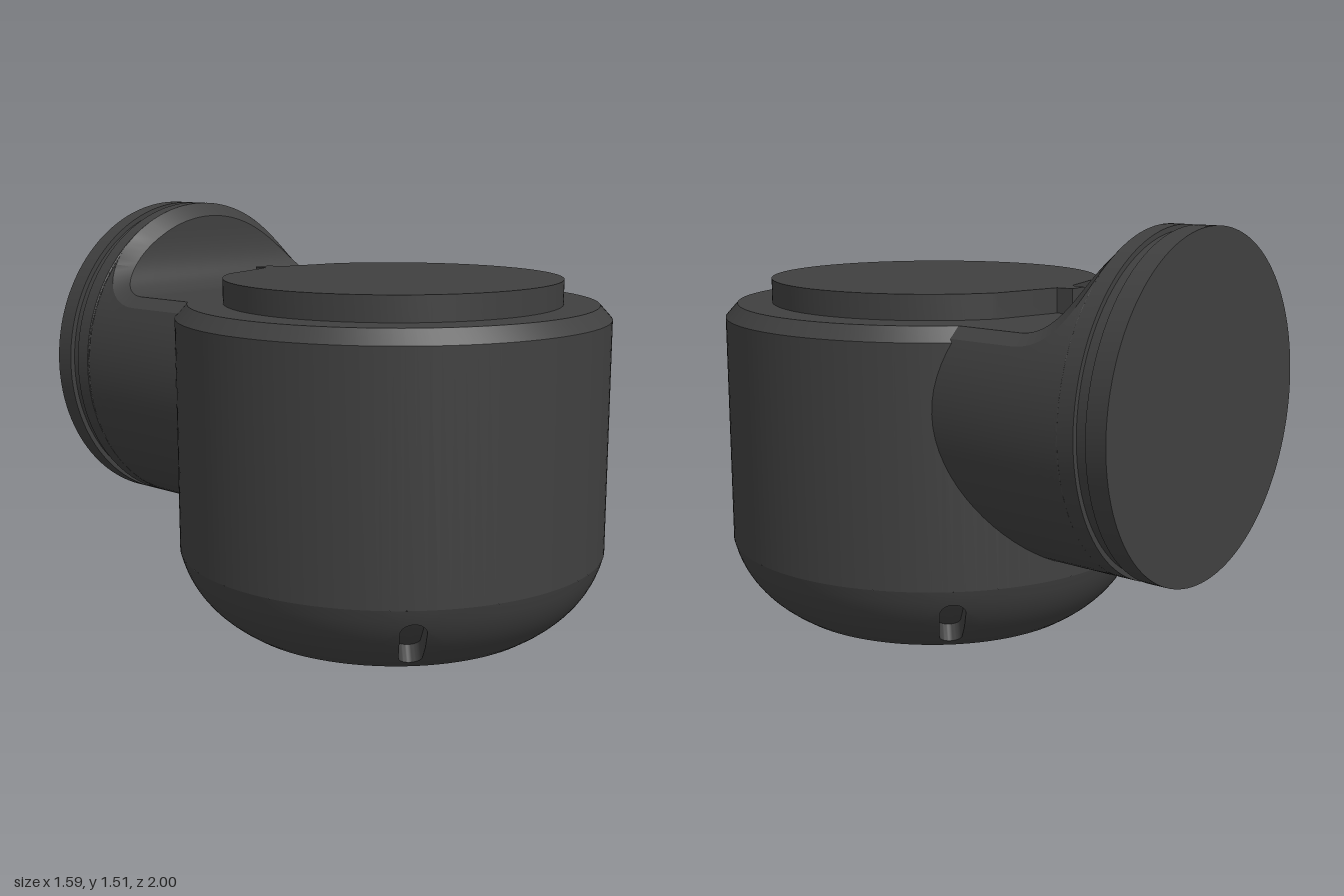
import * as THREE from 'three';
import { mergeGeometries, toCreasedNormals } from 'three/addons/utils/BufferGeometryUtils.js';

const CZ = 0.2;              // z of the upright body axis
const AXIS = 0.9, R = 0.61;  // height and radius of the rear neck
const V = (x, y, z) => new THREE.Vector3(x, y, z);

// Skin a grid of points: rows[i][j], outward side is (i direction) x (j direction)
function skin(rows) {
  const pos = [];
  for (let i = 0; i + 1 < rows.length; i++) {
    for (let j = 0; j + 1 < rows[i].length; j++) {
      const a = rows[i][j], b = rows[i + 1][j], c = rows[i][j + 1], d = rows[i + 1][j + 1];
      for (const p of [a, b, c, b, d, c]) pos.push(p.x, p.y, p.z);
    }
  }
  const g = new THREE.BufferGeometry();
  g.setAttribute('position', new THREE.Float32BufferAttribute(pos, 3));
  return g;
}

const lathe = (pts) => new THREE.LatheGeometry(pts.map(([r, y]) => new THREE.Vector2(r, y)), 128);

// Rounded lower bowl: profile curve swept about the body axis
const bowlCurve = new THREE.QuadraticBezierCurve(
  new THREE.Vector2(0.59, 0), new THREE.Vector2(0.755, 0.1), new THREE.Vector2(0.795, 0.27));
function bowlPoint(phi, t) {
  const p = bowlCurve.getPoint(t);
  return V(p.x * Math.sin(phi), p.y, p.x * Math.cos(phi) + CZ);
}

// Bowl patch holding one sunken oblong slot
const PATCH = 0.14;
function slotPatch(phi0) {
  const K = 48, rings = 6, rows = [];
  const inward = V(-0.8 * Math.sin(phi0), 0.6, -0.8 * Math.cos(phi0)).multiplyScalar(0.07);
  for (let i = 0; i <= rings; i++) {
    const row = [];
    for (let k = 0; k <= K; k++) {
      const a = ((k % K) / K) * Math.PI * 2, c = Math.cos(a), s = Math.sin(a);
      const m = Math.max(Math.abs(c), Math.abs(s));
      const side = Math.abs(s) < 1e-6 ? 0 : Math.sign(s);
      const u = THREE.MathUtils.lerp(c * 0.06, (c / m) * PATCH, i / rings);
      const t = THREE.MathUtils.lerp(s * 0.13 + side * 0.21, (s / m) * 0.5, i / rings);
      row.push(bowlPoint(phi0 + u, THREE.MathUtils.clamp(0.5 + t, 0, 1)));
    }
    rows.push(row);
  }
  const floor = rows[0].map((p) => p.clone().add(inward));
  const centre = bowlPoint(phi0, 0.5).add(inward);
  return skin([floor.map(() => centre), floor, ...rows]);
}

function bowlGeometry() {
  const parts = [];
  for (let q = 0; q < 4; q++) {
    const phi0 = Math.PI / 4 + q * Math.PI / 2;
    parts.push(slotPatch(phi0));
    // Plain stretch between this slot and the next
    const rows = [];
    for (let i = 0; i <= 24; i++) {
      const phi = phi0 + PATCH + (i / 24) * (Math.PI / 2 - 2 * PATCH);
      const row = [];
      for (let k = -6; k <= 6; k++) row.push(bowlPoint(phi, 0.5 + 0.5 * Math.tan(k * Math.PI / 24)));
      rows.push(row);
    }
    parts.push(skin(rows));
  }
  return toCreasedNormals(mergeGeometries(parts), 0.5);
}

// Neck: a lying cylinder scooped out on top, with a chamfer along the scoop
function neckGeometry() {
  const path = [[-0.25, 1.18, -1, 0], [-0.6, 1.18, -1, 0]]; // z, y, tangent z, tangent y
  const sweep = new THREE.QuadraticBezierCurve(
    new THREE.Vector2(-0.6, 1.18), new THREE.Vector2(-0.76, 1.18), new THREE.Vector2(-0.76, 1.4));
  for (let i = 1; i <= 18; i++) {
    const p = sweep.getPoint(i / 18), t = sweep.getTangent(i / 18);
    path.push([p.x, p.y, t.x, t.y]);
  }
  for (let i = 1; i <= 10; i++) path.push([-0.76, 1.4 + 0.06 * Math.sin(i * Math.PI / 20), 0, 1]);

  const rows = path.map(([z, h, tz, ty]) => {
    const ri = 0.56 + 0.025 * Math.abs(tz);
    const innerX = Math.sqrt(Math.max(0, ri * ri - (h - AXIS) ** 2));
    const outerY = (h - AXIS) * R / ri + 0.05 * tz;
    const outerZ = z - 0.06 * ty;
    const top = Math.asin(Math.min(1, outerY / R));
    const half = [];
    for (let k = 0; k <= 28; k++) {
      const a = -Math.PI / 2 + (k / 28) * (top + Math.PI / 2);
      half.push(V(R * Math.cos(a), AXIS + R * Math.sin(a), outerZ));
    }
    for (let k = 0; k <= 4; k++) half.push(V(innerX * (1 - k / 4), h, z));
    const mirrored = half.slice(0, -1).reverse().map((p) => V(-p.x, p.y, p.z));
    return [...half, ...mirrored];
  });
  return toCreasedNormals(skin(rows), 0.45);
}

// Raised lid: a disc with a small locating tab at the back
function lidGeometry() {
  const s = new THREE.Shape();
  const a = Math.PI * 61 / 180;
  s.absarc(0, -CZ, 0.62, a, Math.PI - a, true);
  s.lineTo(-0.045, 0.41);
  s.lineTo(-0.037, 0.47);
  s.lineTo(0.037, 0.47);
  s.lineTo(0.045, 0.41);
  s.closePath();
  const g = new THREE.ExtrudeGeometry(s, { depth: 0.1, bevelEnabled: false, curveSegments: 96 });
  g.rotateX(-Math.PI / 2);
  g.translate(0, 1.17, 0);
  return toCreasedNormals(g, 0.4);
}

export function createModel() {
  const group = new THREE.Group();
  const material = new THREE.MeshStandardMaterial({ color: 0x404040 });
  const add = (name, geometry) => {
    const mesh = new THREE.Mesh(geometry, material);
    mesh.name = name;
    group.add(mesh);
    return mesh;
  };

  // Upright body with chamfered top
  const body = lathe([[0.795, 0.27], [0.795, 1.13], [0.75, 1.18], [0, 1.18]]);
  add('body', toCreasedNormals(body, 0.4)).position.z = CZ;

  add('slottedBowl', bowlGeometry());
  add('base', lathe([[0, 0], [0.59, 0]])).position.z = CZ;
  add('lid', lidGeometry());
  add('neck', neckGeometry());

  // Rear collar with groove and flat end plate
  const collar = lathe([[R, 0.82], [R, 0.88], [0.592, 0.88], [0.592, 0.925],
    [R, 0.925], [R, 1], [0, 1]]);
  collar.rotateX(-Math.PI / 2);
  add('rearCollar', toCreasedNormals(collar, 0.4)).position.y = AXIS;

  return group;
}
